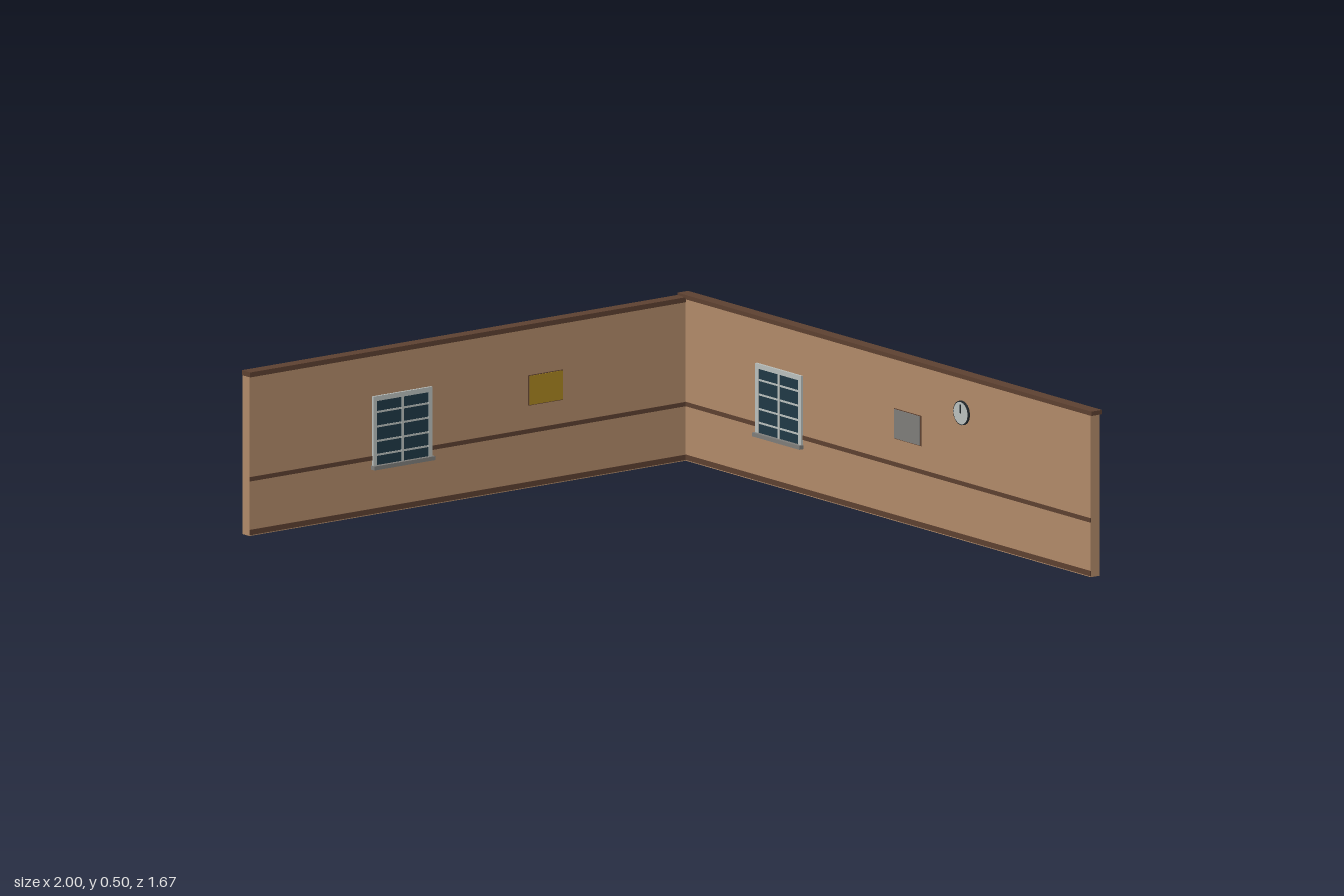
import * as THREE from 'three';

const mat = (name, color) => {
  const m = new THREE.MeshStandardMaterial({ color });
  m.name = name;
  return m;
};

export function createModel() {
  const plaster = mat('tan plaster', 0xb08968);
  const wood = mat('dark wood', 0x5c4030);
  const frameMat = mat('pale frame', 0xb9bfbc);
  const glassMat = mat('dark glass', 0x1f3845);
  const stone = mat('grey', 0x7d7c79);
  const mustard = mat('mustard', 0xa88420);
  const ink = mat('ink', 0x22282c);

  const model = new THREE.Group();
  model.name = 'roomCorner';

  const add = (parent, name, geometry, material, x, y, z) => {
    const m = new THREE.Mesh(geometry, material);
    m.name = name;
    m.position.set(x, y, z);
    parent.add(m);
    return m;
  };
  // box given by its low and high corners
  const box = (parent, name, material, [x0, y0, z0], [x1, y1, z1]) =>
    add(parent, name, new THREE.BoxGeometry(x1 - x0, y1 - y0, z1 - z0), material,
      (x0 + x1) / 2, (y0 + y1) / 2, (z0 + z1) / 2);

  // walls are drawn in local space: inner face at z = 0, thickness behind it
  const wall = (name, x0, x1, top, capTop, capX0, capX1) => {
    const g = new THREE.Group();
    g.name = name;
    box(g, 'wallPanel', plaster, [x0, 0, -0.033], [x1, top, 0]);
    box(g, 'topCap', wood, [capX0, top, -0.037], [capX1, capTop, 0.003]);
    box(g, 'chairRail', wood, [x0, 0.166, -0.001], [x1, 0.179, 0.002]);
    box(g, 'baseboard', wood, [x0, 0.003, -0.001], [x1, 0.019, 0.002]);
    model.add(g);
    return g;
  };

  // window: pane, frame, glazing bars and sill
  const addWindow = (parent, cx) => {
    const g = new THREE.Group();
    g.name = 'window';
    g.position.x = cx;
    box(g, 'glass', glassMat, [-0.1, 0.15, 0], [0.1, 0.35, 0.004]);
    for (const s of [-1, 1]) {
      const inner = s * 0.097, outer = s * 0.111;
      box(g, 'frameSide', frameMat, [Math.min(inner, outer), 0.15, 0],
        [Math.max(inner, outer), 0.36, 0.007]);
    }
    box(g, 'frameTop', frameMat, [-0.097, 0.345, 0], [0.097, 0.36, 0.007]);
    box(g, 'centreBar', frameMat, [-0.004, 0.15, 0], [0.004, 0.345, 0.006]);
    for (const y of [0.181, 0.223, 0.267, 0.311])
      box(g, 'crossBar', frameMat, [-0.097, y - 0.003, 0], [0.097, y + 0.003, 0.005]);
    box(g, 'sill', stone, [-0.114, 0.138, 0], [0.114, 0.15, 0.016]);
    parent.add(g);
  };

  // wall board with a thin dark backing
  const addBoard = (parent, cx, face, edge) => {
    box(parent, 'boardBacking', wood, [cx - 0.065, 0.25, 0], [cx + 0.065, 0.342, 0.002]);
    box(parent, 'board', face, [cx - 0.063 + Math.min(edge, 0) * -0.003, 0.252, 0.001],
      [cx + 0.063 - Math.max(edge, 0) * 0.003, 0.34, 0.004]);
  };

  // back wall
  const back = wall('backWall', -0.995, 0.993, 0.491, 0.504, -1, 1);
  back.position.z = -0.798;
  addWindow(back, -0.508);
  addBoard(back, 0.111, stone, 1);

  // clock
  const clock = new THREE.Group();
  clock.name = 'clock';
  clock.position.set(0.373, 0.387, 0);
  add(clock, 'clockRim', new THREE.CylinderGeometry(0.037, 0.037, 0.006, 16), ink, 0, 0, 0.003)
    .rotation.x = Math.PI / 2;
  add(clock, 'clockFace', new THREE.CircleGeometry(0.034, 16), frameMat, 0, 0, 0.007);
  box(clock, 'clockHand', ink, [-0.003, 0, 0.006], [0.003, 0.026, 0.009]);
  back.add(clock);

  // side wall, turned so its inner face looks to +x; local x becomes -z
  const side = wall('sideWall', -0.835, 0.797, 0.482, 0.497, -0.835, 0.797);
  side.rotation.y = Math.PI / 2;
  side.position.x = -0.963;
  addWindow(side, -0.266);
  addBoard(side, 0.272, mustard, -1);

  return model;
}
